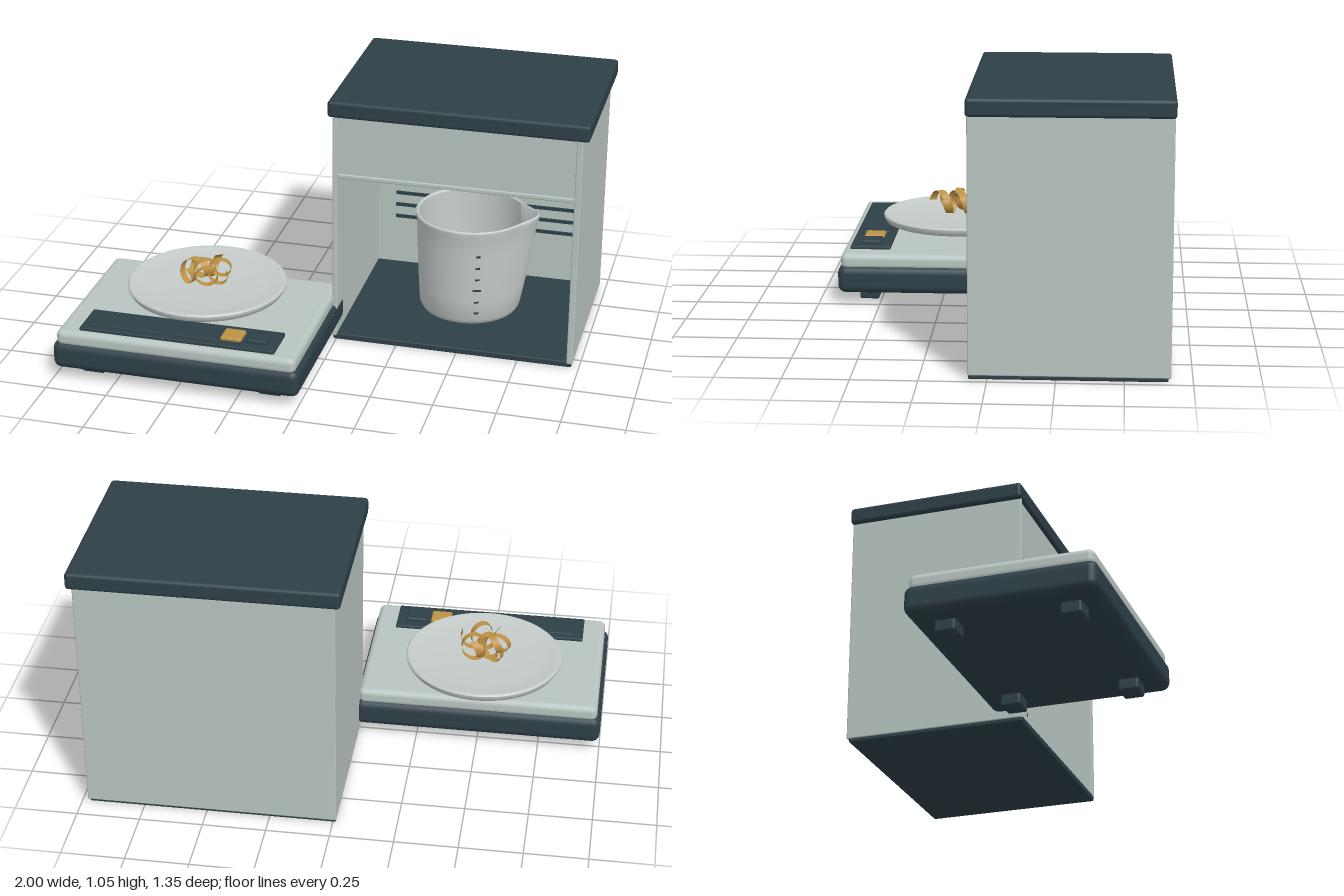
import * as THREE from 'three';
import { mergeVertices, toCreasedNormals } from 'three/addons/utils/BufferGeometryUtils.js';
import { RoundedBoxGeometry } from 'three/addons/geometries/RoundedBoxGeometry.js';
import { ParametricGeometry } from 'three/addons/geometries/ParametricGeometry.js';

const material = (name, color, side = THREE.FrontSide) => {
  const m = new THREE.MeshStandardMaterial({ color, side });
  m.name = name;
  return m;
};

export function createModel() {
  const light = material('pale grey green', 0xb8c4c0);
  const steel = material('soft steel', 0xc3cac8);
  const dark = material('dark slate', 0x2d4047);
  const gold = material('gold', 0xbd9145, THREE.DoubleSide);

  const model = new THREE.Group();
  const group = (name) => {
    const g = new THREE.Group();
    g.name = name;
    model.add(g);
    return g;
  };
  const add = (parent, name, geometry, mat) => {
    const mesh = new THREE.Mesh(geometry, mat);
    mesh.name = name;
    parent.add(mesh);
    return mesh;
  };
  // Box given by its limits on each axis, with optional rounded edges
  const box = (parent, name, mat, [x0, x1], [y0, y1], [z0, z1], r = 0) => {
    const size = [x1 - x0, y1 - y0, z1 - z0];
    const geometry = r ? new RoundedBoxGeometry(...size, 3, r) : new THREE.BoxGeometry(...size);
    const mesh = add(parent, name, geometry, mat);
    mesh.position.set((x0 + x1) / 2, (y0 + y1) / 2, (z0 + z1) / 2);
    return mesh;
  };
  const lathe = (points, segments) =>
    new THREE.LatheGeometry(points.map(([r, y]) => new THREE.Vector2(r, y)), segments);

  // Cabinet: floor, walls, raised front sash and lid
  const cabinet = group('cabinet');
  box(cabinet, 'cabinetFloor', dark, [-0.012, 0.97], [0, 0.026], [-0.66, 0.07], 0.006);
  box(cabinet, 'leftWall', light, [0.95, 0.975], [0.015, 0.99], [-0.67, 0.072], 0.005);
  box(cabinet, 'rightWall', light, [-0.015, 0.003], [0.015, 0.99], [-0.67, 0.072], 0.005);
  box(cabinet, 'backWall', light, [-0.012, 0.972], [0.015, 0.99], [-0.67, -0.65], 0.005);
  box(cabinet, 'frontSash', light, [0.003, 0.95], [0.735, 0.985], [0.045, 0.062]);
  box(cabinet, 'sashRail', light, [0.003, 0.95], [0.718, 0.737], [0.04, 0.068], 0.005);
  box(cabinet, 'cabinetLid', dark, [-0.035, 1], [0.977, 1.046], [-0.675, 0.077], 0.014);
  for (const y of [0.245, 0.3, 0.355, 0.41]) {
    box(cabinet, 'ventSlot', dark, [0.08, 0.885], [y - 0.007, y + 0.007], [-0.652, -0.643]);
  }

  // Beaker: lathed shell pulled outwards into a spout on its left
  const beaker = group('beaker');
  beaker.position.set(0.48, 0, -0.3);
  const shell = lathe([
    [0, 0.045], [0.18, 0.045], [0.197, 0.05], [0.208, 0.07], [0.214, 0.16], [0.219, 0.26],
    [0.223, 0.36], [0.226, 0.44], [0.231, 0.458], [0.231, 0.47], [0.225, 0.475],
    [0.217, 0.468], [0.212, 0.36], [0.203, 0.16], [0.195, 0.075], [0.18, 0.062], [0, 0.06],
  ], 64);
  const p = shell.attributes.position;
  for (let i = 0; i < p.count; i++) {
    const x = p.getX(i), y = p.getY(i), z = p.getZ(i);
    const r = Math.hypot(x, z);
    if (r < 0.01) continue;
    const rise = Math.max(0, (y - 0.06) / 0.41);
    const pull = Math.exp(-((Math.atan2(z, x) / 0.3) ** 2));
    const k = 1 + 0.05 * rise * pull / r;
    p.setXYZ(i, x * k, y + 0.011 * rise ** 8 * pull, z * k);
  }
  shell.deleteAttribute('uv');
  shell.deleteAttribute('normal');
  add(beaker, 'beakerShell', toCreasedNormals(mergeVertices(shell), 0.8), steel);
  // Measuring marks follow the wall
  [0.105, 0.155, 0.21, 0.26, 0.313, 0.366].forEach((y, i) => {
    const a = 0.32, r = 0.2065 + 0.05 * y;
    const mark = add(beaker, 'measureMark',
      new THREE.BoxGeometry(i === 2 ? 0.035 : 0.018, 0.007, 0.006), dark);
    mark.position.set(Math.sin(a) * r, y, Math.cos(a) * r);
    mark.rotation.y = a;
  });

  // Scale body and feet
  const scale = group('scale');
  box(scale, 'scaleBase', dark, [-1, 0.005], [0.045, 0.158], [-0.05, 0.672], 0.032);
  box(scale, 'scaleTop', light, [-0.985, -0.01], [0.14, 0.207], [-0.036, 0.66], 0.025);
  for (const x of [-0.862, -0.132]) {
    for (const z of [0.08, 0.55]) {
      box(scale, 'foot', dark, [x - 0.048, x + 0.048], [0, 0.06], [z - 0.04, z + 0.04], 0.01);
    }
  }

  // Control panel
  box(scale, 'controlPanel', dark, [-0.895, -0.1], [0.2, 0.219], [0.465, 0.63], 0.005);
  box(scale, 'display', dark, [-0.855, -0.34], [0.21, 0.226], [0.49, 0.605], 0.005);
  box(scale, 'goldButton', gold, [-0.33, -0.245], [0.21, 0.232], [0.505, 0.588], 0.008);
  box(scale, 'darkButton', dark, [-0.225, -0.143], [0.21, 0.234], [0.505, 0.588], 0.008);

  // Weighing pan on a flared neck
  const pan = lathe([
    [0, 0.2], [0.12, 0.2], [0.13, 0.205], [0.165, 0.231], [0.3, 0.241], [0.311, 0.246],
    [0.32, 0.262], [0.321, 0.271], [0.315, 0.277], [0.305, 0.277], [0.285, 0.271],
    [0.24, 0.266], [0, 0.264],
  ], 64);
  add(scale, 'weighingPan', toCreasedNormals(pan, 0.7), steel).position.set(-0.5, 0, 0.21);

  // Curled shavings: helical ribbons lying on the pan
  const shavings = group('shavings');
  const curls = [
    { x: -0.555, y: 0.32, z: 0.215, r: 0.05, turn: 1.2, length: 0.13, loops: 1.7, start: 0.6 },
    { x: -0.5, y: 0.322, z: 0.235, r: 0.05, turn: -1.2, length: 0.15, loops: 1.9, start: 2.2 },
    { x: -0.45, y: 0.325, z: 0.205, r: 0.047, turn: 1.75, length: 0.13, loops: 1.6, start: 1 },
    { x: -0.51, y: 0.325, z: 0.19, r: 0.043, turn: 0.4, length: 0.12, loops: 1.4, start: 3.4 },
  ];
  for (const c of curls) {
    const ribbon = (u, v, target) => {
      const a = c.start + u * c.loops * Math.PI * 2;
      const r = c.r * (0.85 + 0.15 * u);
      target.set((u - 0.5) * c.length + (v - 0.5) * 0.032, Math.cos(a) * r, Math.sin(a) * r);
    };
    const curl = add(shavings, 'curl', new ParametricGeometry(ribbon, 48, 1), gold);
    curl.position.set(c.x, c.y, c.z);
    curl.rotation.y = c.turn;
  }
  return model;
}
